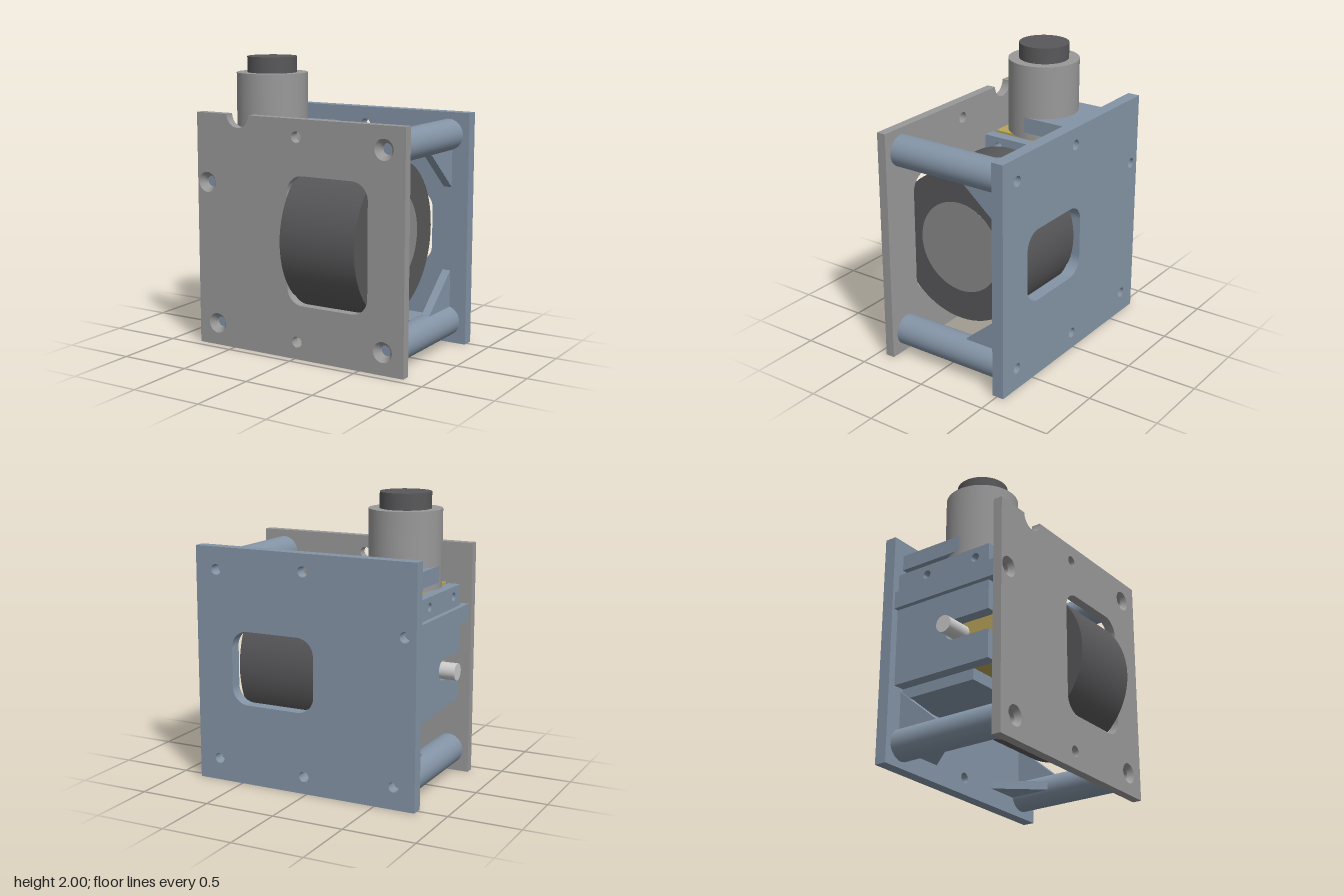
import * as THREE from 'three';

const mat = (color, side = THREE.FrontSide) => new THREE.MeshStandardMaterial({ color, side });
const BLUE = mat(0x8494a6), GREY = mat(0x999999), DARK = mat(0x58585a);
const HUB = mat(0x8a8a8a), STEEL = mat(0xcccccc), BRASS = mat(0xb8a558);
const BACK = -0.465, FRONT = 0.375, AXLE_Y = 0.815, MID_Z = 0.02, MOTOR_X = -0.45;

export function createModel() {
  const model = new THREE.Group();

  const add = (name, geometry, material, x = 0, y = 0, z = 0) => {
    const mesh = new THREE.Mesh(geometry, material);
    mesh.name = name;
    mesh.position.set(x, y, z);
    model.add(mesh);
    return mesh;
  };
  // box given by its limits
  const box = (name, material, x0, x1, y0, y1, z0, z1) =>
    add(name, new THREE.BoxGeometry(x1 - x0, y1 - y0, z1 - z0), material,
      (x0 + x1) / 2, (y0 + y1) / 2, (z0 + z1) / 2);
  const polygon = (points) => new THREE.Shape(points.map(([a, b]) => new THREE.Vector2(a, b)));
  const circle = (x, y, r) => new THREE.Path().absarc(x, y, r, 0, Math.PI * 2, true);
  const extrude = (shape, depth) =>
    new THREE.ExtrudeGeometry(shape, { depth, bevelEnabled: false, curveSegments: 24 });
  // shape drawn in (z, y), thickened along x
  const uprightSlab = (name, shape, x0, x1, material) =>
    add(name, extrude(shape, x1 - x0).rotateY(-Math.PI / 2), material, x1);
  // shape drawn in (x, -z), thickened along y
  const levelSlab = (name, shape, y0, y1, material) =>
    add(name, extrude(shape, y1 - y0).rotateX(-Math.PI / 2), material, 0, y0);
  // cylinders along each axis, given by their ends
  const rodX = (name, r, x0, x1, y, z, material) =>
    add(name, new THREE.CylinderGeometry(r, r, x1 - x0, 64).rotateZ(Math.PI / 2), material, (x0 + x1) / 2, y, z);
  const rodY = (name, r, y0, y1, x, z, material) =>
    add(name, new THREE.CylinderGeometry(r, r, y1 - y0, 48), material, x, (y0 + y1) / 2, z);
  const rodZ = (name, r, z0, z1, x, y, material) =>
    add(name, new THREE.CylinderGeometry(r, r, z1 - z0, 40).rotateX(Math.PI / 2), material, x, y, (z0 + z1) / 2);
  const roundWindow = (x0, x1, y0, y1, r) => {
    const p = new THREE.Path();
    p.absarc(x0 + r, y0 + r, r, Math.PI, Math.PI * 1.5);
    p.absarc(x1 - r, y0 + r, r, Math.PI * 1.5, Math.PI * 2);
    p.absarc(x1 - r, y1 - r, r, 0, Math.PI / 2);
    p.absarc(x0 + r, y1 - r, r, Math.PI / 2, Math.PI);
    p.closePath();
    return p;
  };

  const posts = [[0.68, 1.475], [0.68, 0.155], [-0.64, 0.155]];
  const screws = [...posts, [-0.71, 1.15]];
  const dowels = [[0.02, 1.51], [0.02, 0.12]];
  const [L, R, TOP] = [-0.79, 0.835, 1.63];

  // Front plate with a half-round notch, wheel window and countersunk holes
  const front = new THREE.Shape();
  front.moveTo(L, 0).lineTo(R, 0).lineTo(R, TOP).lineTo(MOTOR_X + 0.09, TOP);
  front.absarc(MOTOR_X, TOP, 0.09, 0, Math.PI, true);
  front.lineTo(L, TOP).closePath();
  front.holes.push(roundWindow(-0.055, 0.565, 0.375, 1.255, 0.12),
    ...dowels.map(([x, y]) => circle(x, y, 0.038)), ...screws.map(([x, y]) => circle(x, y, 0.07)));
  add('frontPlate', extrude(front, 0.065), GREY, 0, 0, FRONT);
  const sink = [[0.07, 0.065], [0.04, 0.03], [0.04, 0], [0.07, 0]].map(([r, h]) => new THREE.Vector2(r, h));
  for (const [x, y] of screws) {
    add('countersink', new THREE.LatheGeometry(sink, 32).rotateX(Math.PI / 2).toNonIndexed(),
      mat(0x999999, THREE.DoubleSide), x, y, FRONT).geometry.computeVertexNormals();
  }

  // Back plate
  const back = polygon([[L, 0], [R, 0], [R, TOP], [L, TOP]]);
  back.holes.push(roundWindow(-0.055, 0.565, 0.56, 1.07, 0.12),
    ...[...dowels, ...screws].map(([x, y]) => circle(x, y, 0.036)));
  add('backPlate', extrude(back, 0.085), BLUE, 0, 0, -0.55);

  // Posts, each with an upright and a level gusset pointing inwards
  for (const [x, y] of posts) {
    rodZ('post', 0.108, BACK, FRONT, x, y, BLUE);
    const sx = x > 0 ? -1 : 1, sy = y > 0.8 ? -1 : 1, t = 0.03;
    uprightSlab('uprightGusset', polygon([[BACK, y], [-0.16, y], [-0.16, y + sy * 0.108],
      [BACK, y + sy * 0.365]]), x - t, x + t, BLUE);
    levelSlab('levelGusset', polygon([[x, -BACK], [x, 0.16], [x + sx * 0.108, 0.16],
      [x + sx * 0.36, -BACK]]), y - t, y + t, BLUE);
  }

  // Bracket walls: slotted for the axle, drilled near the top
  for (const [name, x0, x1] of [['rightBracketWall', -0.735, -0.65], ['leftBracketWall', -0.22, -0.14]]) {
    const wall = new THREE.Shape();
    wall.moveTo(BACK, 0.545).lineTo(0.3, 0.545).lineTo(0.3, AXLE_Y - 0.07).lineTo(MID_Z, AXLE_Y - 0.07);
    wall.absarc(MID_Z, AXLE_Y, 0.07, Math.PI * 1.5, Math.PI / 2, true);
    wall.lineTo(0.3, AXLE_Y + 0.07).lineTo(0.3, 1.355).lineTo(BACK, 1.355).closePath();
    wall.holes.push(circle(0.186, 1.287, 0.03), circle(-0.22, 1.287, 0.03));
    uprightSlab(name, wall, x0, x1, BLUE);
  }
  box('sideRail', BLUE, -0.77, -0.65, 1.09, 1.21, BACK, FRONT);
  box('lowerCradle', BLUE, -0.65, -0.22, 0.47, 0.55, BACK, 0.12);

  // Shelf hollowed to fit the motor
  const shelf = new THREE.Shape();
  shelf.moveTo(-0.7, -MID_Z).absarc(MOTOR_X, -MID_Z, 0.247, Math.PI, 0, true);
  shelf.lineTo(-0.205, -BACK).lineTo(-0.7, -BACK).closePath();
  levelSlab('motorShelf', shelf, 1.41, 1.52, BLUE);

  // Gearbox: square front, rounded back
  const gearbox = new THREE.Shape();
  gearbox.moveTo(-0.645, -0.265).lineTo(-0.225, -0.265).lineTo(-0.225, 0);
  gearbox.absellipse(-0.435, 0, 0.21, 0.235, 0, Math.PI);
  gearbox.closePath();
  levelSlab('gearbox', gearbox, 0.55, 1.37, BRASS);

  // Motor and its cap
  rodY('motor', 0.247, 1.365, 1.89, MOTOR_X, MID_Z, GREY);
  rodY('motorCap', 0.173, 1.89, 2, MOTOR_X, MID_Z, DARK);

  // Axle, hub and wheel
  rodX('axle', 0.058, -0.84, -0.1, AXLE_Y, MID_Z, STEEL);
  rodX('hub', 0.32, -0.185, 0.532, AXLE_Y, MID_Z, HUB);
  rodX('wheel', 0.53, -0.04, 0.53, AXLE_Y, MID_Z, DARK);

  return model;
}
